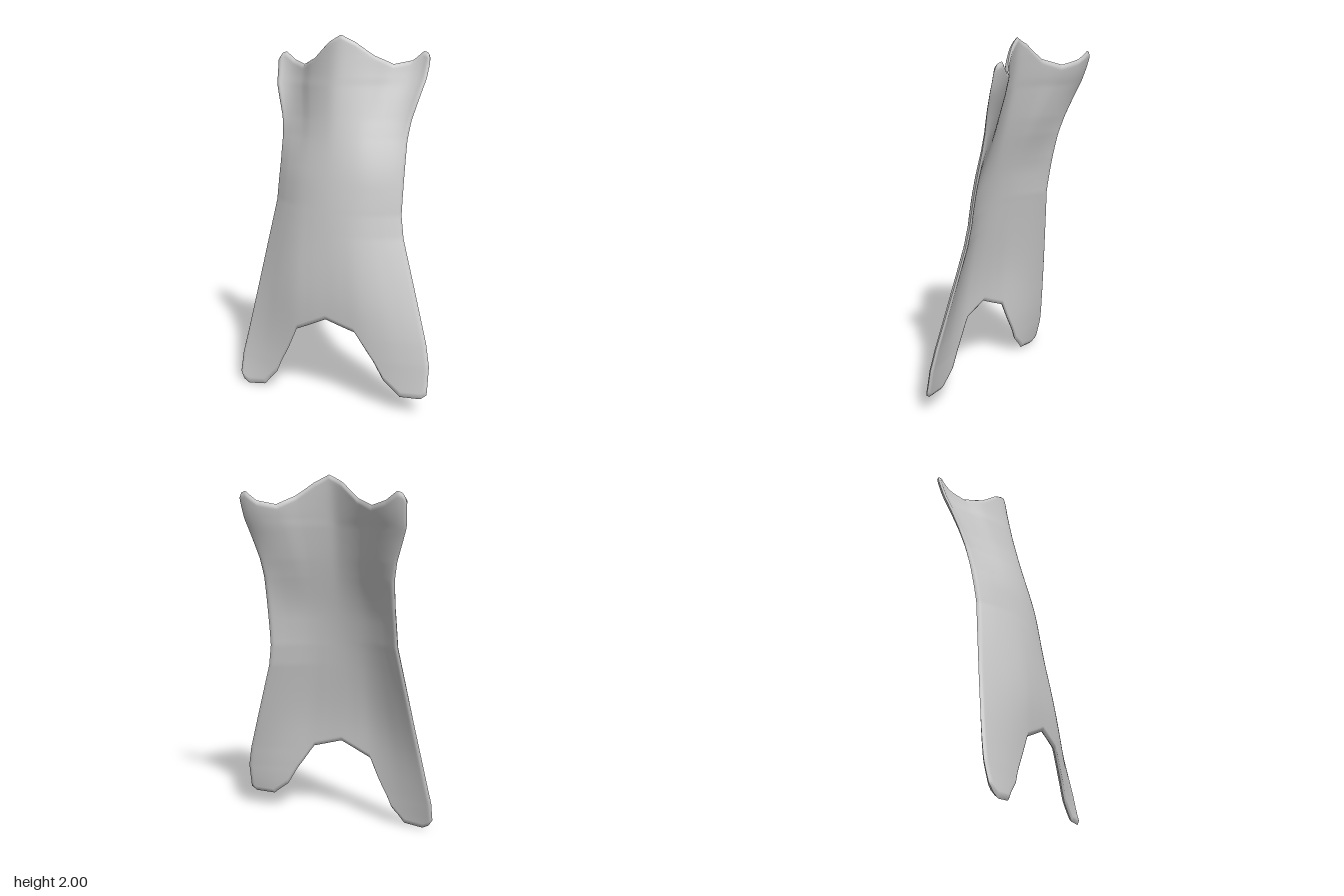
import * as THREE from 'three';

// Interpolated curve through [position, value] pairs
function curve(pairs, Type = THREE.LinearInterpolant) {
  const f = new Type(pairs.map(p => p[0]), pairs.map(p => p[1]), 1);
  return t => f.evaluate(t)[0];
}

// Side outlines: x by height
const rightEdge = curve([[0, -0.565], [0.06, -0.577], [0.17, -0.575], [0.39, -0.535], [1.08, -0.405],
  [1.3, -0.4], [1.45, -0.405], [1.55, -0.425], [1.73, -0.49], [1.87, -0.503], [2, -0.49]]);
const leftEdge = curve([[0, 0.555], [0.12, 0.574], [0.27, 0.573], [0.39, 0.547], [0.93, 0.378], [1.05, 0.358],
  [1.45, 0.354], [1.55, 0.365], [1.77, 0.42], [1.87, 0.43], [2, 0.42]]);

// Lower and upper outlines: height by position across the sheet (-1 to 1)
const lowerEdge = curve([[-1, 0.06], [-0.97, 0.02], [-0.91, 0], [-0.71, 0.015], [-0.57, 0.1], [-0.37, 0.385],
  [-0.02, 0.47], [0.3, 0.42], [0.58, 0.165], [0.75, 0.09], [0.95, 0.095], [1, 0.12]]);
const upperEdge = curve([[-1, 1.86], [-0.96, 1.9], [-0.91, 1.91], [-0.76, 1.865], [-0.57, 1.84], [-0.355, 1.875],
  [-0.14, 1.96], [0.03, 2], [0.2, 1.96], [0.4, 1.89], [0.59, 1.845], [0.785, 1.865], [0.914, 1.915],
  [0.98, 1.905], [1, 1.85]]);

// Depth of the middle ridge and of the swept-back sides, by height
const ridgeZ = curve([[0, 0.2], [0.2, 0.198], [0.6, 0.202], [0.95, 0.169], [1.24, 0.127], [1.6, 0.05],
  [1.87, -0.004], [2, -0.025]], THREE.CubicInterpolant);
const sideZ = curve([[0, 0.2], [0.17, 0.155], [0.5, 0.095], [0.92, 0.03], [1.15, -0.005], [1.4, -0.058],
  [1.65, -0.13], [1.82, -0.19], [1.91, -0.212], [2, -0.225]], THREE.CubicInterpolant);

// Cross-sections: 0 at the ridge, 1 at the sides
const lowBow = curve([[-0.2, 0.01], [0, 0], [0.2, 0.01], [0.4, 0.07], [0.6, 0.28], [0.8, 0.6], [1, 0.95]],
  THREE.CubicInterpolant);
const midBow = curve([[-0.25, 0.055], [0, 0], [0.25, 0.055], [0.5, 0.22], [0.75, 0.52], [0.87, 0.71], [1, 0.94]],
  THREE.CubicInterpolant);
const topBow = curve([[-0.14, 0.07], [0, 0], [0.14, 0.07], [0.37, 0.33], [0.58, 0.7], [0.77, 0.92], [0.9, 0.97], [1, 0.93]],
  THREE.CubicInterpolant);

function bow(t, y) {
  const a = Math.abs(t);
  const lower = THREE.MathUtils.lerp(lowBow(a), midBow(a), THREE.MathUtils.smoothstep(y, 0.5, 1.2));
  return THREE.MathUtils.lerp(lower, topBow(a), THREE.MathUtils.smoothstep(y, 1.2, 1.8));
}

const HALF_THICKNESS = 0.011;
const RIM = 0.02;

// One face of the hide, pushed to side +1 (front) or -1 (back) and rounded off to meet at the rim
function hideFace(side) {
  const geometry = new THREE.PlaneGeometry(2, 1, 120, 120);
  const pos = geometry.attributes.position;
  const swell = [];
  for (let i = 0; i < pos.count; i++) {
    const t = THREE.MathUtils.clamp(pos.getX(i), -1, 1);
    const v = THREE.MathUtils.clamp(pos.getY(i) + 0.5, 0, 1);
    const low = lowerEdge(t), high = upperEdge(t);
    const y = THREE.MathUtils.lerp(low, high, v);
    const right = rightEdge(y), left = leftEdge(y);
    const x = THREE.MathUtils.lerp(right, left, (t + 1) / 2);
    pos.setXYZ(i, x, y, THREE.MathUtils.lerp(ridgeZ(y), sideZ(y), bow(t, y)));
    const inset = Math.min((1 - Math.abs(t)) * (left - right) / 2, Math.min(v, 1 - v) * (high - low), RIM);
    swell.push(Math.sqrt(1 - (1 - inset / RIM) ** 2));
  }
  geometry.computeVertexNormals();
  const normal = geometry.attributes.normal;
  const p = new THREE.Vector3(), n = new THREE.Vector3();
  for (let i = 0; i < pos.count; i++) {
    n.fromBufferAttribute(normal, i);
    p.fromBufferAttribute(pos, i).addScaledVector(n, side * HALF_THICKNESS * swell[i]);
    pos.setXYZ(i, p.x, p.y, p.z);
  }
  geometry.computeVertexNormals();
  return geometry;
}

export function createModel() {
  const group = new THREE.Group();
  group.name = 'curvedHide';
  const material = new THREE.MeshStandardMaterial({ color: 0xcccccc, side: THREE.DoubleSide });
  for (const [name, side] of [['frontFace', 1], ['backFace', -1]]) {
    const face = new THREE.Mesh(hideFace(side), material);
    face.name = name;
    group.add(face);
  }
  return group;
}
